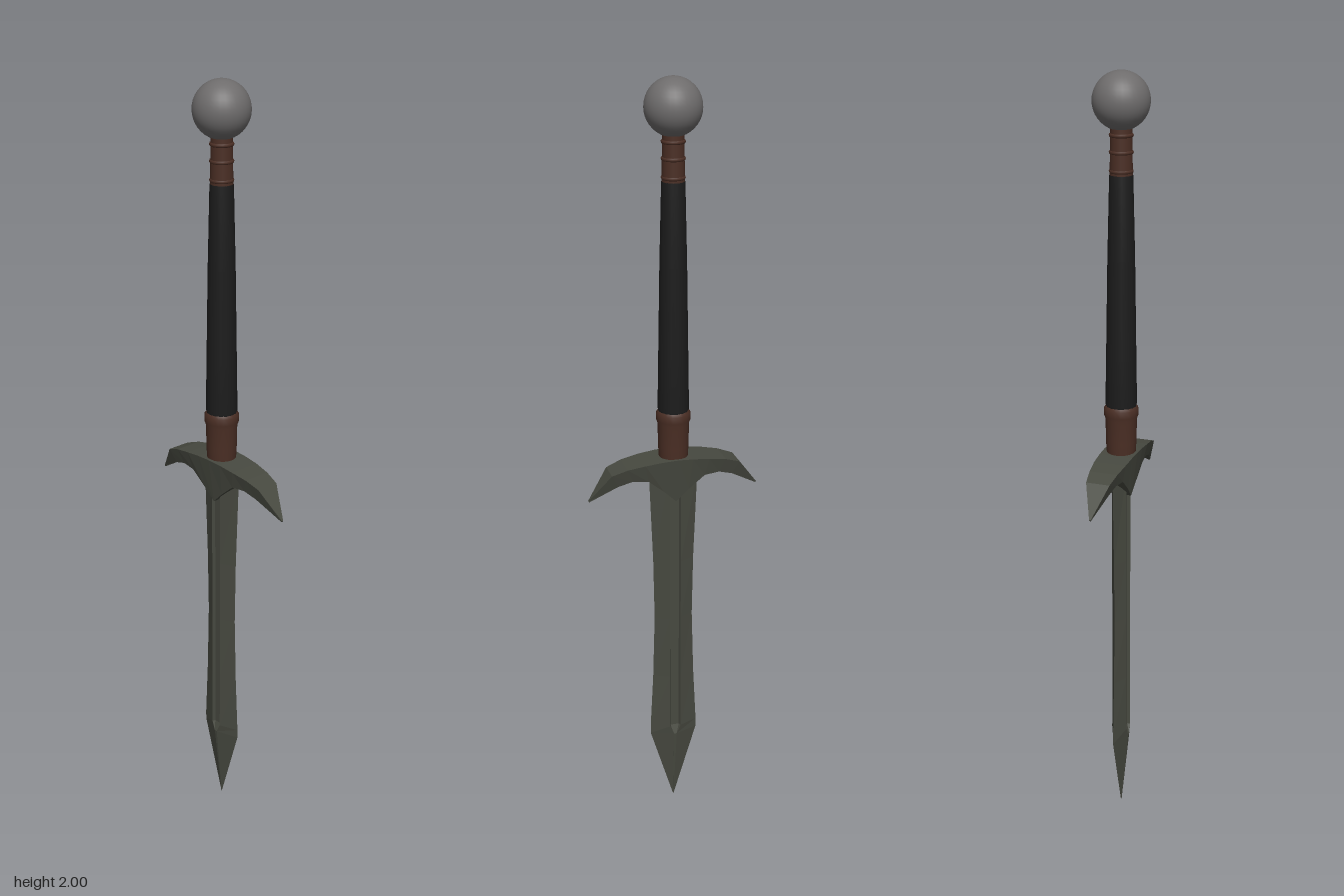
import * as THREE from 'three';

const material = (name, color, flat = false) =>
  new THREE.MeshStandardMaterial({ name, color, flatShading: flat });

// Skin a list of closed rings (same point count) and cap both ends.
function loft(rings) {
  const pos = [];
  const n = rings[0].length;
  const tri = (a, b, c) => pos.push(...a, ...b, ...c);
  for (let r = 0; r < rings.length - 1; r++) {
    const a = rings[r], b = rings[r + 1];
    for (let i = 0; i < n; i++) {
      const j = (i + 1) % n;
      tri(a[i], a[j], b[j]);
      tri(a[i], b[j], b[i]);
    }
  }
  const first = rings[0], last = rings[rings.length - 1];
  for (let i = 1; i < n - 1; i++) {
    tri(first[0], first[i + 1], first[i]);
    tri(last[0], last[i], last[i + 1]);
  }
  const geo = new THREE.BufferGeometry();
  geo.setAttribute('position', new THREE.Float32BufferAttribute(pos, 3));
  geo.computeVertexNormals();
  return geo;
}

// Blade cross-section: half width w, half thickness t, groove half width g, depth d.
function bladeRing([y, w, t, g, d]) {
  const front = [[-w, 0], [-g, t], [-g * 0.8, t - d], [g * 0.8, t - d], [g, t]];
  const back = front.map(([x, z]) => [-x, -z]);
  return [...front, ...back].map(([x, z]) => [x, y, z]);
}

export function createModel() {
  const steel = material('dark steel', 0x474940, true);
  const leather = material('black leather', 0x1c1c1c);
  const copper = material('brown collar', 0x4a2e24);
  const iron = material('grey iron', 0x6e6c6c);

  const sword = new THREE.Group();
  sword.name = 'sword';
  sword.rotation.y = -0.04;
  const add = (name, geo, mat, y = 0) => {
    const mesh = new THREE.Mesh(geo, mat);
    mesh.name = name;
    mesh.position.y = y;
    sword.add(mesh);
  };
  const turned = (points, sides) =>
    new THREE.LatheGeometry(points.map(([r, y]) => new THREE.Vector2(r, y)), sides);

  // Waisted blade, point down, with a groove on each face
  add('blade', loft([
    [0, 0.001, 0.001, 0.0005, 0],
    [0.215, 0.065, 0.022, 0.004, 0],
    [0.24, 0.065, 0.021, 0.015, 0.008],
    [0.4, 0.057, 0.02, 0.015, 0.008],
    [0.58, 0.052, 0.02, 0.015, 0.008],
    [0.75, 0.055, 0.02, 0.015, 0.008],
    [1.0, 0.065, 0.02, 0.015, 0.008],
  ].map(bladeRing)), steel);

  // Drooping crossguard: top x, top y, bottom x, bottom y, top and bottom half depth
  const arm = [
    [0.04, 1.05, 0.033, 0.962, 0.044, 0.03],
    [0.085, 1.045, 0.075, 0.997, 0.042, 0.032],
    [0.13, 1.037, 0.115, 1.0, 0.037, 0.028],
    [0.17, 1.023, 0.152, 0.988, 0.031, 0.022],
    [0.226, 0.948, 0.224, 0.945, 0.002, 0.002],
  ];
  const mirrored = arm.map(([a, b, c, ...rest]) => [-a, b, -c, ...rest]).reverse();
  const stations = [...mirrored, [0, 1.052, 0, 0.93, 0.045, 0.027], ...arm];
  add('crossguard', loft(stations.map(([tx, ty, bx, by, tz, bz]) => [
    [tx, ty, tz], [bx, by, bz], [bx, by, -bz], [tx, ty, -tz],
  ])), steel);

  // Handle: lower collar, tapered grip, ringed upper collar
  add('lowerCollar', turned([
    [0.037, 1.04], [0.039, 1.08], [0.04, 1.14], [0.044, 1.15], [0.044, 1.168], [0.038, 1.175],
  ], 20), copper);
  add('grip', turned([
    [0.036, 1.165], [0.04, 1.18], [0.038, 1.3], [0.034, 1.55], [0.029, 1.755], [0.02, 1.762],
  ], 16), leather);
  add('upperCollar', turned([[0.028, 1.75], [0.026, 1.87]], 20), copper);
  for (const y of [1.765, 1.81, 1.85]) {
    const ring = new THREE.TorusGeometry(0.025, 0.005, 8, 20);
    ring.rotateX(Math.PI / 2);
    add('collarRing', ring, copper, y);
  }

  // Round pommel
  add('pommel', new THREE.SphereGeometry(0.07, 32, 20), iron, 1.93);

  const model = new THREE.Group();
  model.name = 'model';
  model.add(sword);
  return model;
}
